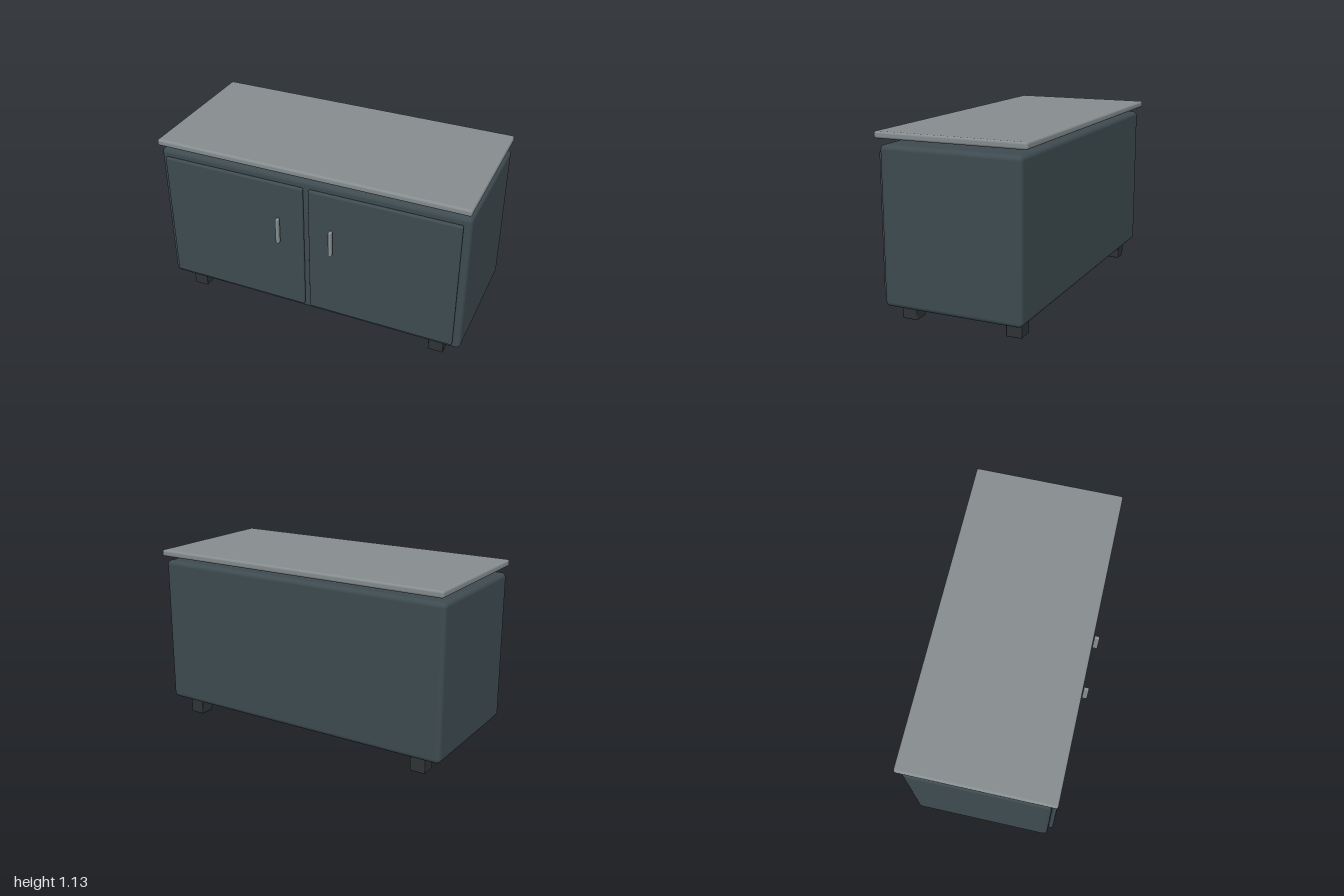
import * as THREE from 'three';
import { RoundedBoxGeometry } from 'three/addons/geometries/RoundedBoxGeometry.js';

const paint = (color) => new THREE.MeshStandardMaterial({ color });

// Rounded block given by its extents on each axis
function block(name, [x0, x1], [y0, y1], [z0, z1], radius, material, segments = 4) {
  const mesh = new THREE.Mesh(
    new RoundedBoxGeometry(x1 - x0, y1 - y0, z1 - z0, segments, radius), material);
  mesh.name = name;
  mesh.position.set((x0 + x1) / 2, (y0 + y1) / 2, (z0 + z1) / 2);
  return mesh;
}

export function createModel() {
  const group = new THREE.Group();
  group.name = 'cabinet';
  const bodyPaint = paint(0x3e4b50);
  const topPaint = paint(0x878e90);
  const footPaint = paint(0x303436);

  // Carcass and the worktop floating just above it
  group.add(block('body', [-1, 1], [0.103, 1.051], [-0.456, 0.418], 0.03, bodyPaint));
  group.add(block('worktop', [-1, 1], [1.084, 1.126], [-0.489, 0.45], 0.014, topPaint));

  for (const [side, s] of [['left', 1], ['right', -1]]) {
    const span = (a, b) => (s > 0 ? [a, b] : [-b, -a]);

    // Door with its upright handle near the middle
    group.add(block(side + 'Door', span(0.018, 0.957), [0.147, 1.007], [0.418, 0.447], 0.012, bodyPaint));
    group.add(block(side + 'Handle', span(0.164, 0.185), [0.602, 0.777], [0.456, 0.489], 0.008, topPaint));

    // Front and back feet
    group.add(block(side + 'FrontFoot', span(0.79, 0.888), [0, 0.104], [0.27, 0.368], 0.005, footPaint, 2));
    group.add(block(side + 'BackFoot', span(0.79, 0.888), [0, 0.104], [-0.406, -0.308], 0.005, footPaint, 2));
  }
  return group;
}
